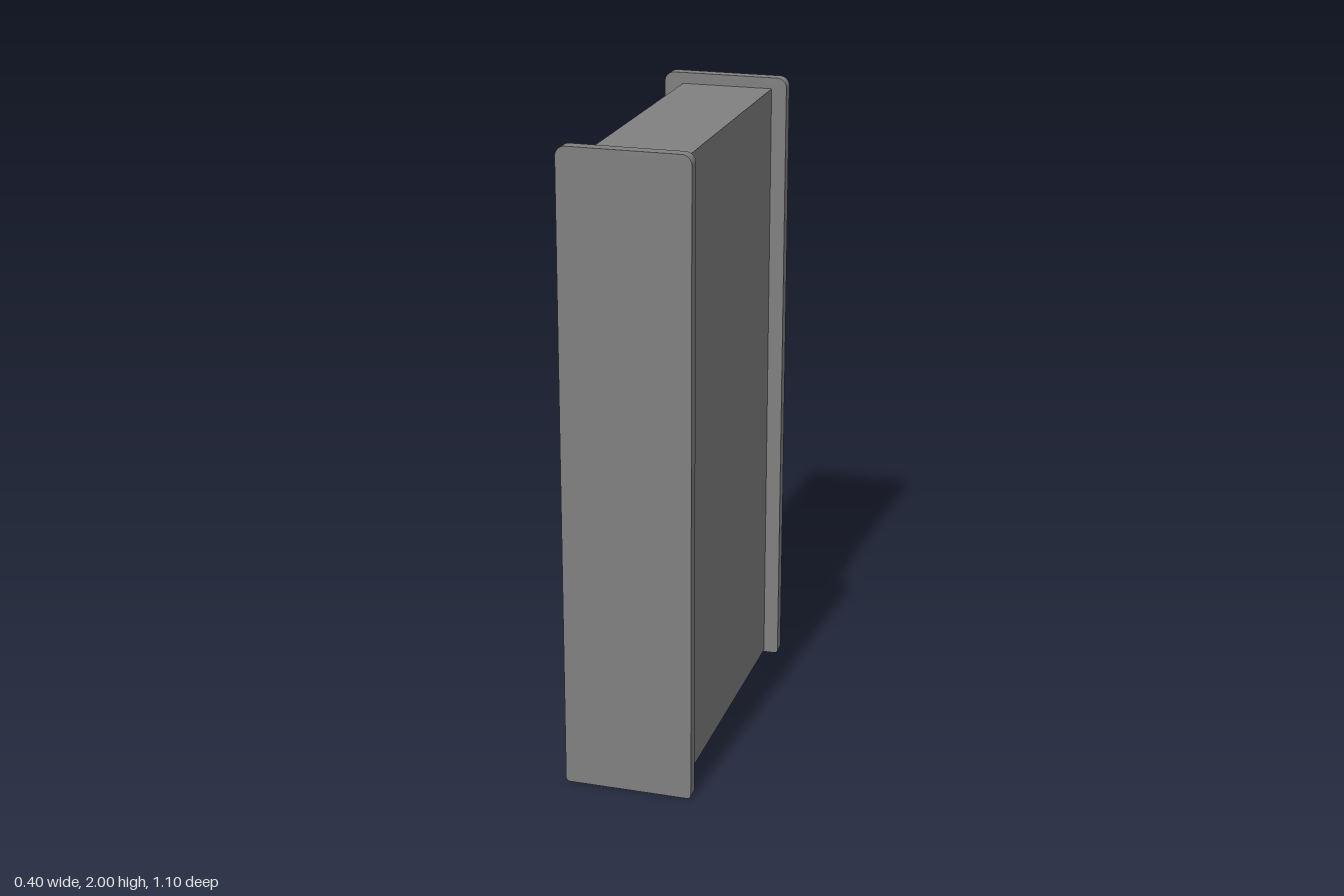
import * as THREE from 'three';

export function createModel() {
  const model = new THREE.Group();
  model.name = 'bookcase';
  const grey = new THREE.MeshStandardMaterial({ color: 0x808080 });
  grey.name = 'grey';

  // Box given by its limits on each axis
  function box(name, x0, x1, y0, y1, z0, z1, parent = model) {
    const mesh = new THREE.Mesh(new THREE.BoxGeometry(x1 - x0, y1 - y0, z1 - z0), grey);
    mesh.position.set((x0 + x1) / 2, (y0 + y1) / 2, (z0 + z1) / 2);
    mesh.name = name;
    parent.add(mesh);
  }

  // Side panels: rounded at the top, slightly eased at the foot
  const w = 0.2, top = 0.03, foot = 0.012;
  const outline = new THREE.Shape();
  outline.moveTo(-w + foot, 0);
  outline.lineTo(w - foot, 0);
  outline.absarc(w - foot, foot, foot, -Math.PI / 2, 0);
  outline.absarc(w - top, 2 - top, top, 0, Math.PI / 2);
  outline.absarc(-w + top, 2 - top, top, Math.PI / 2, Math.PI);
  outline.absarc(-w + foot, foot, foot, Math.PI, Math.PI * 1.5);
  const panelGeometry = new THREE.ExtrudeGeometry(outline, { depth: 0.04, bevelEnabled: false, curveSegments: 8 });
  for (const z of [-0.55, 0.51]) {
    const panel = new THREE.Mesh(panelGeometry, grey);
    panel.position.z = z;
    panel.name = 'sidePanel';
    model.add(panel);
  }

  // Back, top and floor; the open side faces -x
  const front = -0.14, inner = 0.055;
  box('backPanel', inner, 0.152, 0.005, 1.965, -0.51, 0.51);
  box('topBoard', front, inner, 1.93, 1.965, -0.51, 0.51);
  box('floorBoard', front + 0.025, inner, 0.005, 0.04, -0.51, 0.51);

  // Shelves, the lowest one closing the cupboard
  for (const y of [1.74, 1.367, 0.996, 0.626]) {
    box('shelf', front, inner, y - 0.035, y, -0.51, 0.51);
  }
  box('cupboardTop', front + 0.025, inner, 0.315, 0.35, -0.51, 0.51);

  // Pair of doors with bar handles
  for (const side of [-1, 1]) {
    const door = new THREE.Group();
    door.name = side > 0 ? 'leftDoor' : 'rightDoor';
    const z = [side * 0.005, side * 0.508].sort((a, b) => a - b);
    box('doorPanel', front, front + 0.025, 0.005, 0.378, z[0], z[1], door);
    const h = side * 0.069;
    box('handleBar', -0.166, -0.154, 0.1, 0.27, h - 0.008, h + 0.008, door);
    for (const y of [0.1, 0.252]) {
      box('handleFoot', -0.154, front, y, y + 0.018, h - 0.008, h + 0.008, door);
    }
    model.add(door);
  }
  return model;
}
